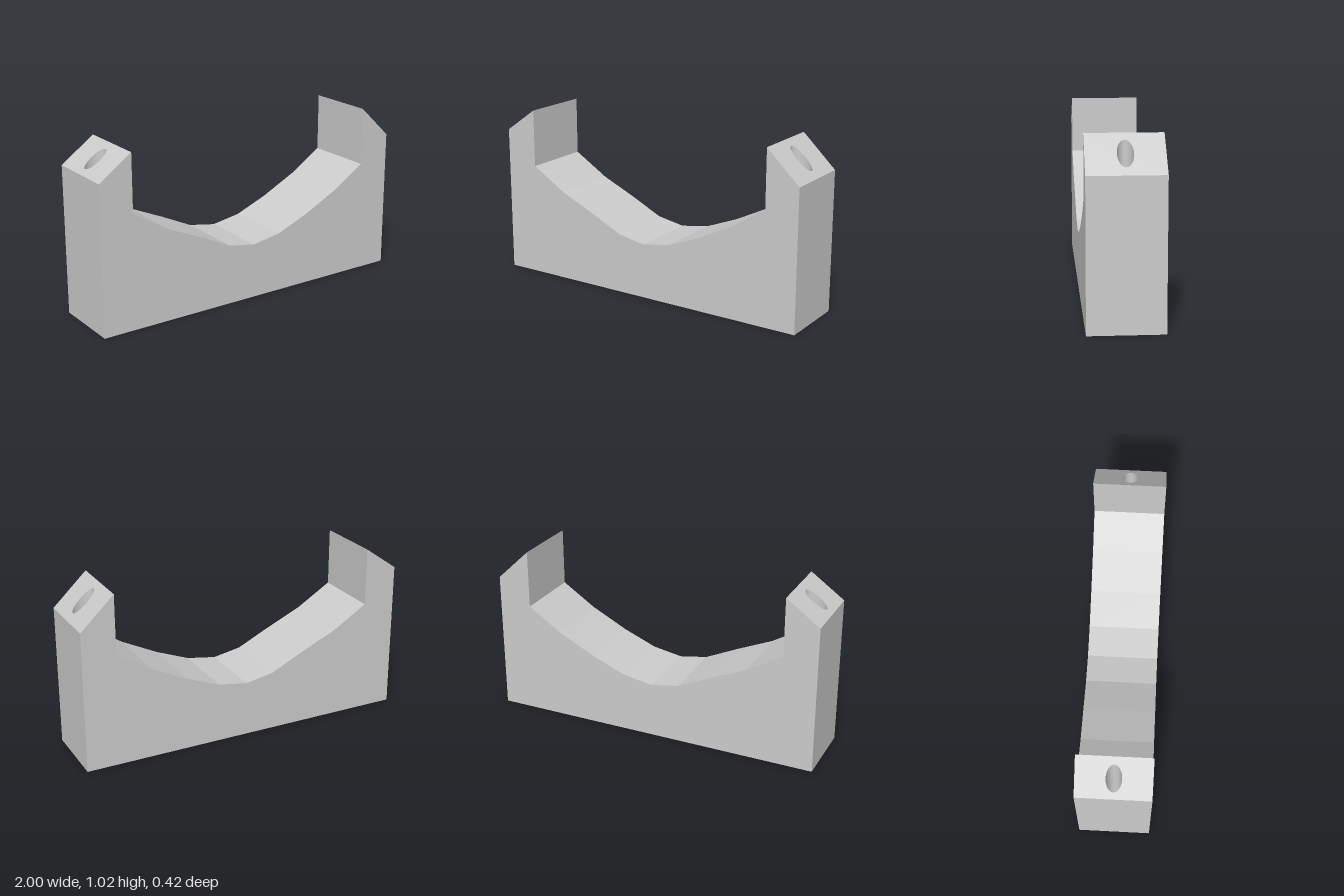
import * as THREE from 'three';
import { toCreasedNormals } from 'three/addons/utils/BufferGeometryUtils.js';

const HALF_DEPTH = 0.21;  // half thickness front to back
const INNER = 0.8;        // inner face of the end posts
const SEAT = 0.68;        // height where the cradle meets a post
const PEAK = 1.025;       // inner top edge of the posts

const material = new THREE.MeshStandardMaterial({ color: 0xcccccc });

// Middle block with the faceted cradle; its ends stay open where the posts join
function cradleGeometry() {
  const curve = [[INNER, SEAT], [0.6, 0.55], [0.38, 0.44], [0.18, 0.36], [0, 0.33],
    [-0.17, 0.36], [-0.37, 0.455], [-0.585, 0.55], [-INNER, SEAT]];
  const outline = [[-INNER, 0], [INNER, 0], ...curve].map(([x, y]) => new THREE.Vector2(x, y));
  const block = new THREE.ExtrudeGeometry(new THREE.Shape(outline),
    { depth: 2 * HALF_DEPTH, bevelEnabled: false });
  block.translate(0, 0, -HALF_DEPTH);
  const { position, normal } = block.attributes;
  const kept = [];
  for (let i = 0; i < position.count; i += 3) {
    if (Math.abs(normal.getX(i)) > 0.99) continue;
    for (let k = i; k < i + 3; k++) kept.push(position.getX(k), position.getY(k), position.getZ(k));
  }
  const geometry = new THREE.BufferGeometry();
  geometry.setAttribute('position', new THREE.Float32BufferAttribute(kept, 3));
  geometry.computeVertexNormals();
  return geometry;
}

// End post with a vertical oval through-hole and a top sloping down outward
function postGeometry(side, holeX, outerHeight) {
  const a = side * INNER, b = side;
  const plan = new THREE.Shape([[a, -HALF_DEPTH], [b, -HALF_DEPTH], [b, HALF_DEPTH], [a, HALF_DEPTH]]
    .map(([x, z]) => new THREE.Vector2(x, z)));
  const hole = new THREE.Path();
  hole.absellipse(holeX, 0, 0.064, 0.044, 0, Math.PI * 2);
  plan.holes.push(hole);
  const geometry = new THREE.ExtrudeGeometry(plan, { depth: 1, bevelEnabled: false, curveSegments: 24 });
  geometry.rotateX(-Math.PI / 2);
  const { position, normal } = geometry.attributes;
  for (let i = 0; i < position.count; i++) {
    const x = Math.abs(position.getX(i));
    if (position.getY(i) > 0.5) {
      position.setY(i, THREE.MathUtils.mapLinear(x, INNER, 1, PEAK, outerHeight));
    } else if (x < INNER + 0.001 && Math.abs(normal.getX(i)) > 0.9) {
      position.setY(i, SEAT); // inner wall starts at the cradle
    }
  }
  return toCreasedNormals(geometry, 0.5);
}

export function createModel() {
  const model = new THREE.Group();
  model.name = 'cradleBracket';
  const add = (name, geometry) => {
    const mesh = new THREE.Mesh(geometry, material);
    mesh.name = name;
    model.add(mesh);
  };
  add('cradle', cradleGeometry());
  add('leftPost', postGeometry(1, 0.898, 0.836));
  add('rightPost', postGeometry(-1, -0.902, 0.884));
  return model;
}
